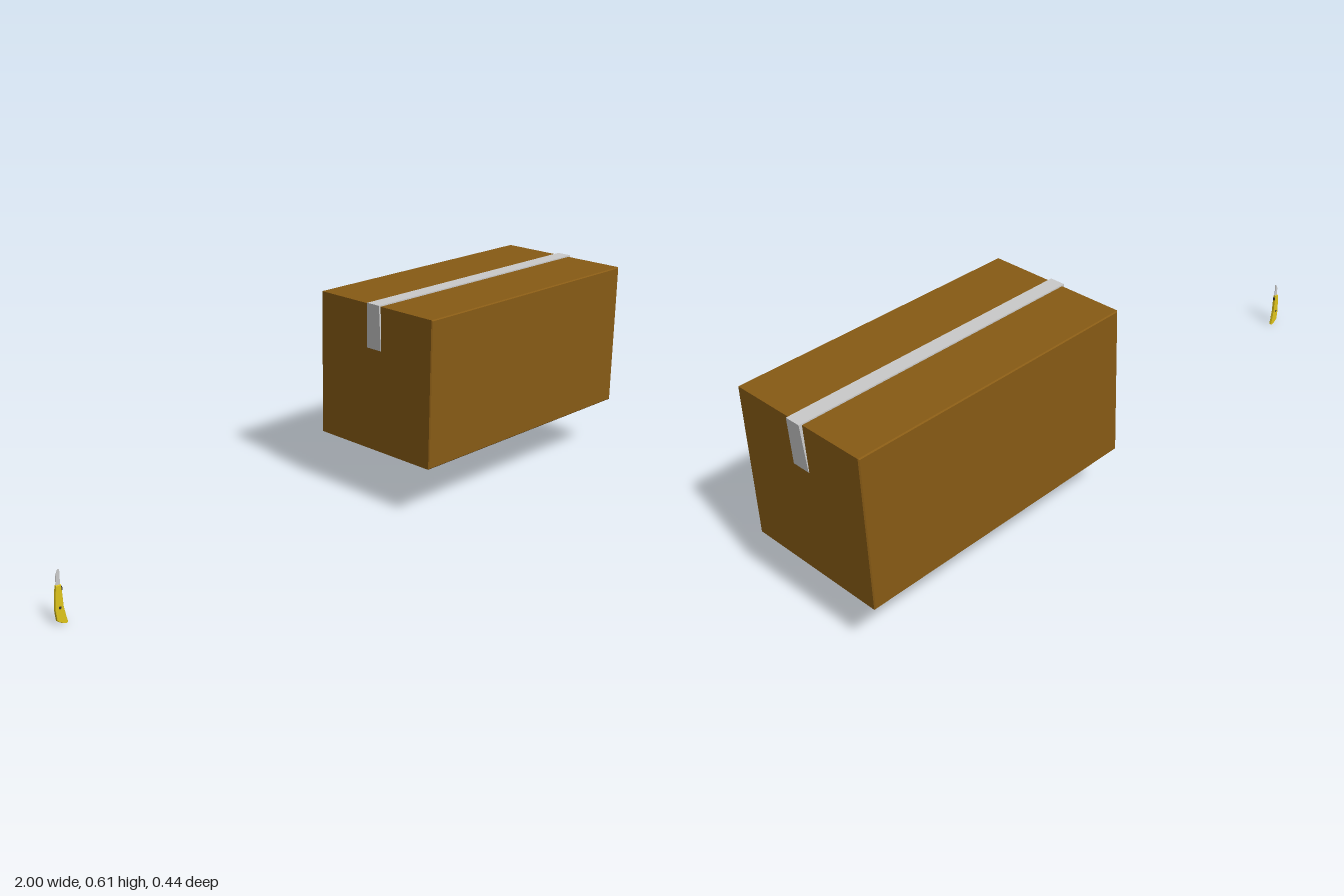
import * as THREE from 'three';

const material = (color) => new THREE.MeshStandardMaterial({ color, flatShading: true });
const shapeOf = (points) => new THREE.Shape(points.map(([x, y]) => new THREE.Vector2(x, y)));

// Extrudes an outline in x-y, centred on z = 0
function slab(name, points, depth, mat, bevel = 0) {
  const geometry = new THREE.ExtrudeGeometry(shapeOf(points), {
    depth: depth - 2 * bevel,
    bevelEnabled: bevel > 0,
    bevelSize: bevel,
    bevelThickness: bevel,
    bevelOffset: -bevel,
    bevelSegments: 1,
  });
  geometry.translate(0, 0, -depth / 2 + bevel);
  const mesh = new THREE.Mesh(geometry, mat);
  mesh.name = name;
  return mesh;
}

function createCarton() {
  const carton = new THREE.Group();
  carton.name = 'carton';
  const x0 = 0.113, x1 = 0.991, y0 = 0.163, y1 = 0.607;

  // Cardboard body with slightly blunted long edges
  carton.add(slab('cartonBody', [[x0, y0], [x1, y0], [x1, y1], [x0, y1]], 0.444, material(0x885b15), 0.003));

  // Tape runs over the top and folds down both ends, widening downwards
  const tape = slab('packingTape', [
    [0.106, 0.611], [0.111, 0.475], [0.114, 0.475], [0.114, 0.606],
    [0.99, 0.606], [0.99, 0.475], [0.993, 0.475], [1, 0.611],
  ], 2, material(0xcccccc));
  const position = tape.geometry.attributes.position;
  for (let i = 0; i < position.count; i++) {
    const drop = (0.611 - position.getY(i)) / 0.136;
    position.setZ(i, Math.sign(position.getZ(i)) * (0.0235 + 0.004 * drop));
  }
  tape.geometry.computeVertexNormals();
  carton.add(tape);
  return carton;
}

function createKnife() {
  const knife = new THREE.Group();
  knife.name = 'utilityKnife';
  const dark = material(0x333333);

  // Curved handle with a hooked butt
  knife.add(slab('knifeHandle', [
    [-0.993, 0.111], [-0.998, 0.075], [-1, 0.045], [-0.997, 0.015], [-0.984, 0.006],
    [-0.971, 0.001], [-0.967, 0.004], [-0.971, 0.022], [-0.976, 0.05], [-0.977, 0.08], [-0.979, 0.111],
  ], 0.009, material(0xe0c51c), 0.001));

  // Thin blade with a slanted tip
  knife.add(slab('knifeBlade', [
    [-0.992, 0.1], [-0.98, 0.1], [-0.979, 0.152], [-0.984, 0.152], [-0.991, 0.137],
  ], 0.002, material(0xcccccc)));

  // Thumb slider on the edge and screw through the sides
  const slider = new THREE.Mesh(new THREE.BoxGeometry(0.005, 0.01, 0.006), dark);
  slider.name = 'bladeSlider';
  slider.position.set(-0.978, 0.1, 0);
  const screw = new THREE.Mesh(new THREE.CylinderGeometry(0.004, 0.004, 0.01, 12).rotateX(Math.PI / 2), dark);
  screw.name = 'handleScrew';
  screw.position.set(-0.987, 0.05, 0);
  knife.add(slider, screw);
  knife.position.y = -0.001;
  return knife;
}

export function createModel() {
  const model = new THREE.Group();
  model.name = 'cartonAndKnife';
  model.add(createCarton(), createKnife());
  return model;
}
